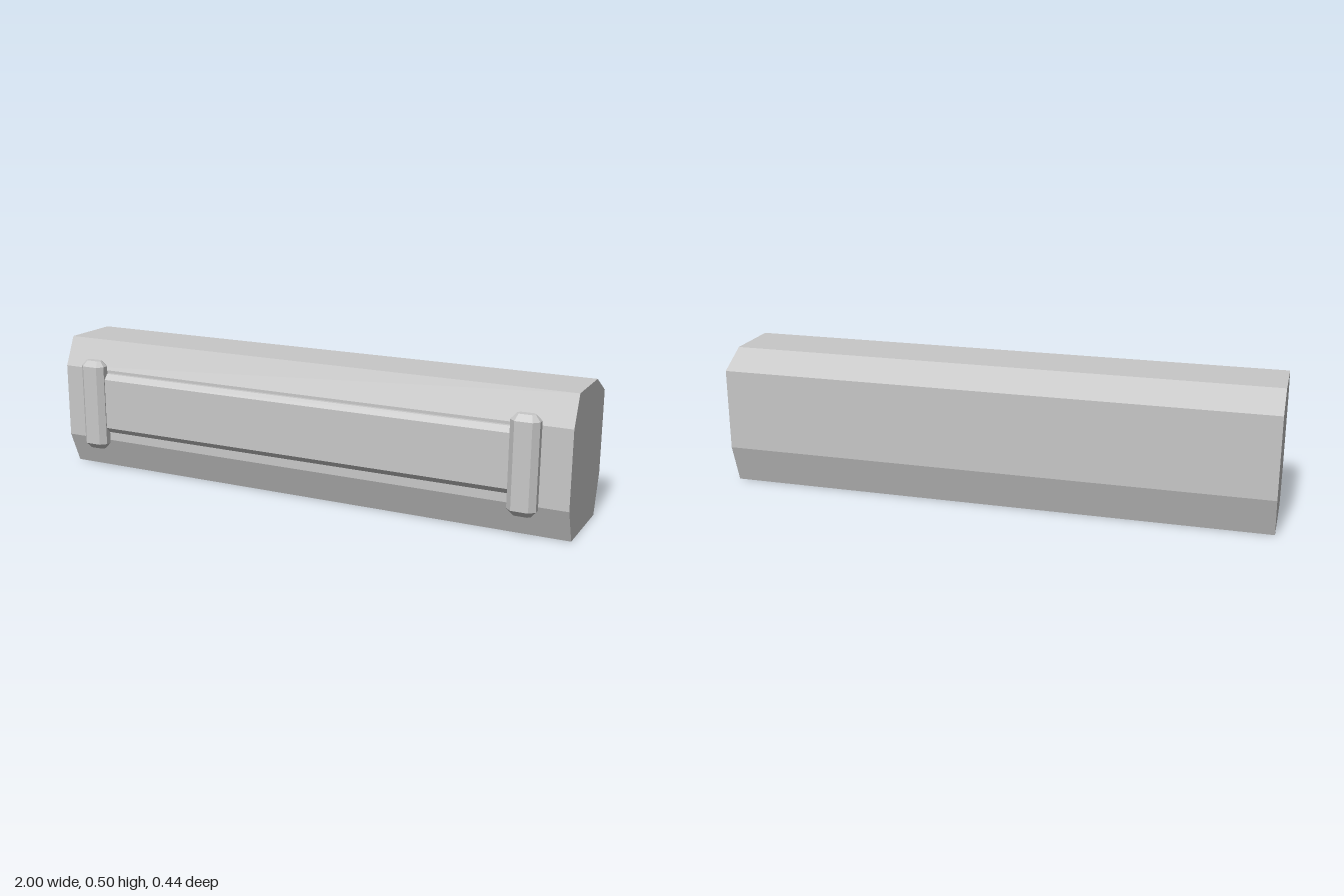
import * as THREE from 'three';

// Extrude a (z, y) profile along x, centred on x = 0
function extrudeAlongX(profile, length) {
  const shape = new THREE.Shape(profile.map(([z, y]) => new THREE.Vector2(-z, y)));
  const geometry = new THREE.ExtrudeGeometry(shape, { depth: length, bevelEnabled: false });
  return geometry.rotateY(Math.PI / 2).translate(-length / 2, 0, 0);
}

// Upright octagonal post with chamfered ends, base at y = 0
function postGeometry(hx, hz, cut, height, bevel, bevelHeight) {
  const shape = new THREE.Shape([
    [hx, -hz + cut], [hx, hz - cut], [hx - cut, hz], [-hx + cut, hz],
    [-hx, hz - cut], [-hx, -hz + cut], [-hx + cut, -hz], [hx - cut, -hz],
  ].map(([x, y]) => new THREE.Vector2(x, y)));
  const geometry = new THREE.ExtrudeGeometry(shape, {
    depth: height - 2 * bevelHeight, bevelEnabled: true, bevelSegments: 1,
    bevelSize: bevel, bevelOffset: -bevel, bevelThickness: bevelHeight,
  });
  return geometry.rotateX(-Math.PI / 2).translate(0, bevelHeight, 0);
}

export function createModel() {
  const group = new THREE.Group();
  const grey = new THREE.MeshStandardMaterial({ color: 0xc8c8c8, flatShading: true });
  grey.name = 'light grey';

  const add = (name, geometry) => {
    const mesh = new THREE.Mesh(geometry, grey);
    mesh.name = name;
    group.add(mesh);
    return mesh;
  };

  // Long eight-sided block
  add('body', extrudeAlongX([
    [0.115, 0], [0.163, 0.118], [0.163, 0.395], [0.115, 0.502],
    [-0.105, 0.502], [-0.217, 0.44], [-0.217, 0.143], [-0.171, 0],
  ], 2));

  // Raised front panel with bevelled top and bottom edges
  add('frontPanel', extrudeAlongX([
    [0.15, 0.155], [0.177, 0.155], [0.194, 0.175],
    [0.194, 0.365], [0.177, 0.385], [0.15, 0.385],
  ], 1.64));

  // Posts at both ends of the panel
  for (const side of [-1, 1]) {
    const post = add(side > 0 ? 'leftPost' : 'rightPost',
      postGeometry(0.05, 0.0315, 0.02, 0.345, 0.018, 0.021));
    post.position.set(side * 0.85, 0.09, 0.1865);
  }
  return group;
}
